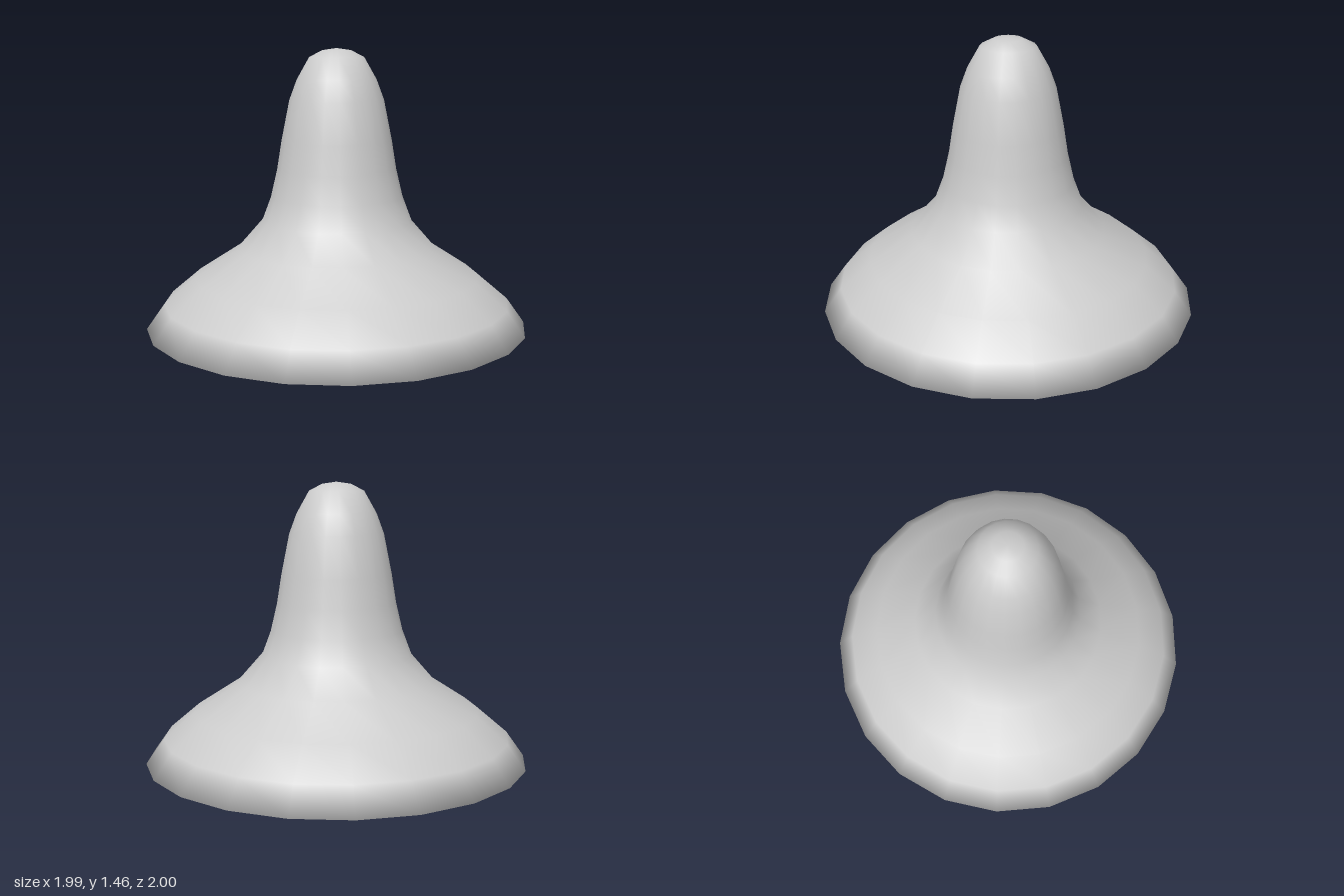
import * as THREE from 'three';

const SIDES = 21;
const toPoints = (pairs) => pairs.map(([r, y]) => new THREE.Vector2(r, y));

// Outer profile from rim to crown: [radius, height]
const OUTSIDE = toPoints([
  [1.003, 0], [0.91, 0.13], [0.75, 0.265], [0.52, 0.413], [0.396, 0.555],
  [0.347, 0.685], [0.313, 0.83], [0.289, 0.98], [0.247, 1.19], [0.208, 1.295],
  [0.143, 1.41], [0.075, 1.445], [0, 1.456],
]);

// Horn-shaped lining from crown to rim, thickest under the shoulder
const LINING = toPoints([
  [0, 1.425], [0.065, 1.415], [0.12, 1.385], [0.18, 1.28], [0.218, 1.18],
  [0.259, 0.975], [0.283, 0.825], [0.315, 0.68], [0.363, 0.535], [0.5, 0.34],
  [0.73, 0.145], [0.979, 0],
]);

// Smooth profile normals: each point averages its two segments equally
function profileNormals(points) {
  const segments = points.slice(1).map((p, i) => {
    const d = p.clone().sub(points[i]).normalize();
    return new THREE.Vector2(d.y, -d.x);
  });
  return points.map((p, i) => {
    if (i === 0) return new THREE.Vector2(0, -1);
    if (i === points.length - 1) return new THREE.Vector2(0, 1);
    return segments[i - 1].clone().add(segments[i]).normalize();
  });
}

export function createModel() {
  const group = new THREE.Group();
  group.name = 'flaredBell';

  // One closed shell: down the lining, across the rim, up the outside
  const section = [...LINING, ...OUTSIDE];
  const start = Math.PI / 2;
  const geometry = new THREE.LatheGeometry(section, SIDES, start);

  // Rounded shading that carries over the thin rim
  const normals = profileNormals(section);
  const attribute = geometry.attributes.normal;
  for (let i = 0; i <= SIDES; i++) {
    const phi = start + (i / SIDES) * Math.PI * 2;
    normals.forEach((n, j) => {
      attribute.setXYZ(i * section.length + j, n.x * Math.sin(phi), n.y, n.x * Math.cos(phi));
    });
  }
  geometry.translate(-0.006, 0, 0);

  const shell = new THREE.Mesh(geometry, new THREE.MeshStandardMaterial({ color: 0xcccccc }));
  shell.name = 'bellShell';
  group.add(shell);
  return group;
}
